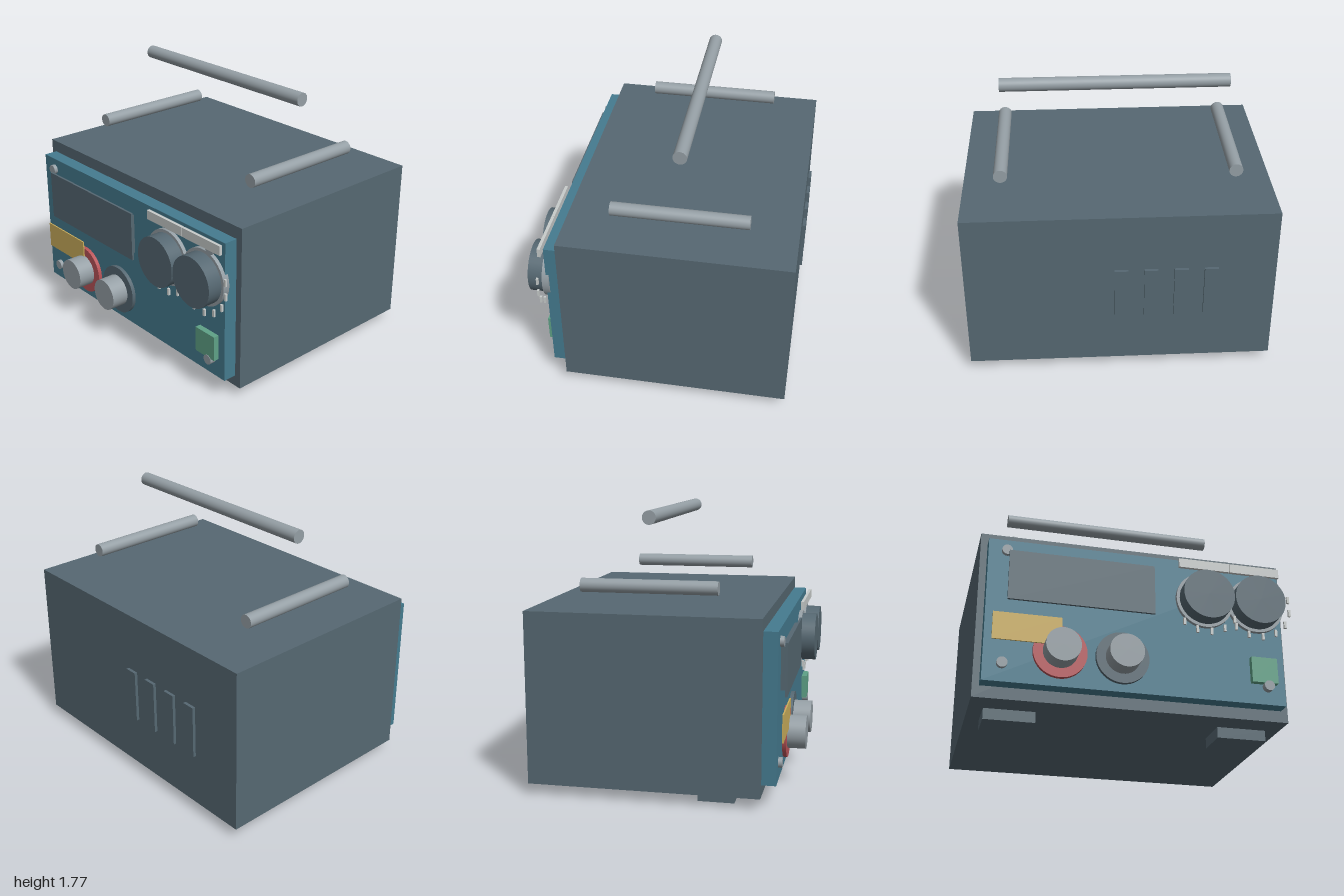
import * as THREE from 'three';

const paint = (name, hex) => {
  const m = new THREE.MeshStandardMaterial({ color: hex });
  m.name = name;
  return m;
};

export function createModel() {
  const slate = paint('slate', 0x566872);
  const teal = paint('teal', 0x457b8f);
  const silver = paint('silver', 0x959fa5);
  const pale = paint('pale grey', 0xc8cccb);
  const red = paint('red', 0xb95458);
  const yellow = paint('yellow', 0xcbae5c);
  const green = paint('green', 0x5fa287);

  const model = new THREE.Group();
  model.name = 'benchInstrument';

  // Box given by its limits on each axis
  function box(name, mat, [x0, x1], [y0, y1], [z0, z1]) {
    const mesh = new THREE.Mesh(new THREE.BoxGeometry(x1 - x0, y1 - y0, z1 - z0), mat);
    mesh.position.set((x0 + x1) / 2, (y0 + y1) / 2, (z0 + z1) / 2);
    mesh.name = name;
    model.add(mesh);
  }

  // Cylinder along z from z0 to z1
  function disc(name, mat, x, y, r, z0, z1) {
    const mesh = new THREE.Mesh(new THREE.CylinderGeometry(r, r, z1 - z0, 40), mat);
    mesh.rotation.x = Math.PI / 2;
    mesh.position.set(x, y, (z0 + z1) / 2);
    mesh.name = name;
    model.add(mesh);
    return mesh;
  }

  // Case, front panel and feet
  box('case', slate, [-1, 0.98], [0.07, 1.17], [-0.84, 0.63]);
  box('frontPanel', teal, [-0.957, 0.936], [0.145, 1.09], [0.63, 0.72]);
  for (const x of [-0.91, 0.57]) box('foot', slate, [x, x + 0.32], [0, 0.07], [0.23, 0.46]);

  // Rear vents
  for (let i = 0; i < 4; i++) {
    const x = -0.585 + i * 0.191;
    box('vent', slate, [x - 0.044, x + 0.044], [0.425, 0.78], [-0.86, -0.84]);
  }

  // Handle: two side rods and a raised crossbar
  for (const x of [-0.755, 0.73]) disc('handleRod', silver, x, 1.307, 0.044, -0.54, 0.33);
  const bar = disc('handleCrossbar', silver, -0.012, 1.73, 0.044, -0.842, 0.642);
  bar.rotation.set(0, 0, Math.PI / 2);
  bar.position.z = -0.105;

  // Display with its backing
  box('displayBacking', slate, [-0.8, 0.065], [0.7, 0.97], [0.72, 0.75]);
  box('display', slate, [-0.83, 0.092], [0.667, 1], [0.75, 0.765]);

  // Control knobs on coloured collars
  for (const [x, mat] of [[-0.497, red], [-0.113, slate]]) {
    disc('knobCollar', mat, x, 0.36, 0.166, 0.72, 0.745);
    disc('knob', silver, x, 0.36, 0.107, 0.745, 0.861);
  }

  // Name plate, indicator and panel screws
  box('plate', yellow, [-0.912, -0.491], [0.4, 0.578], [0.746, 0.755]);
  box('indicator', green, [0.71, 0.88], [0.277, 0.445], [0.72, 0.757]);
  for (const x of [-0.842, 0.82])
    for (const y of [0.26, 1.013]) disc('screw', silver, x, y, 0.033, 0.72, y < 0.5 && x > 0 ? 0.76 : 0.745);

  // Large dials: bezel, drum, tick marks and label strip
  for (const x of [0.425, 0.765]) {
    const y = 0.81;
    disc('dialBezel', silver, x, y, 0.187, 0.7, 0.745);
    disc('dial', slate, x, y, 0.167, 0.745, 0.843);
    for (let i = 0; i < 7; i++) {
      const a = THREE.MathUtils.degToRad(-130 + i * 24);
      const tx = x + 0.225 * Math.cos(a);
      const ty = y + 0.225 * Math.sin(a);
      box('dialTick', pale, [tx - 0.008, tx + 0.008], [ty - 0.023, ty + 0.023], [0.754, 0.768]);
    }
    box('dialLabel', pale, [x - 0.168, x + 0.168], [1.022, 1.083], [0.742, 0.762]);
  }

  return model;
}
